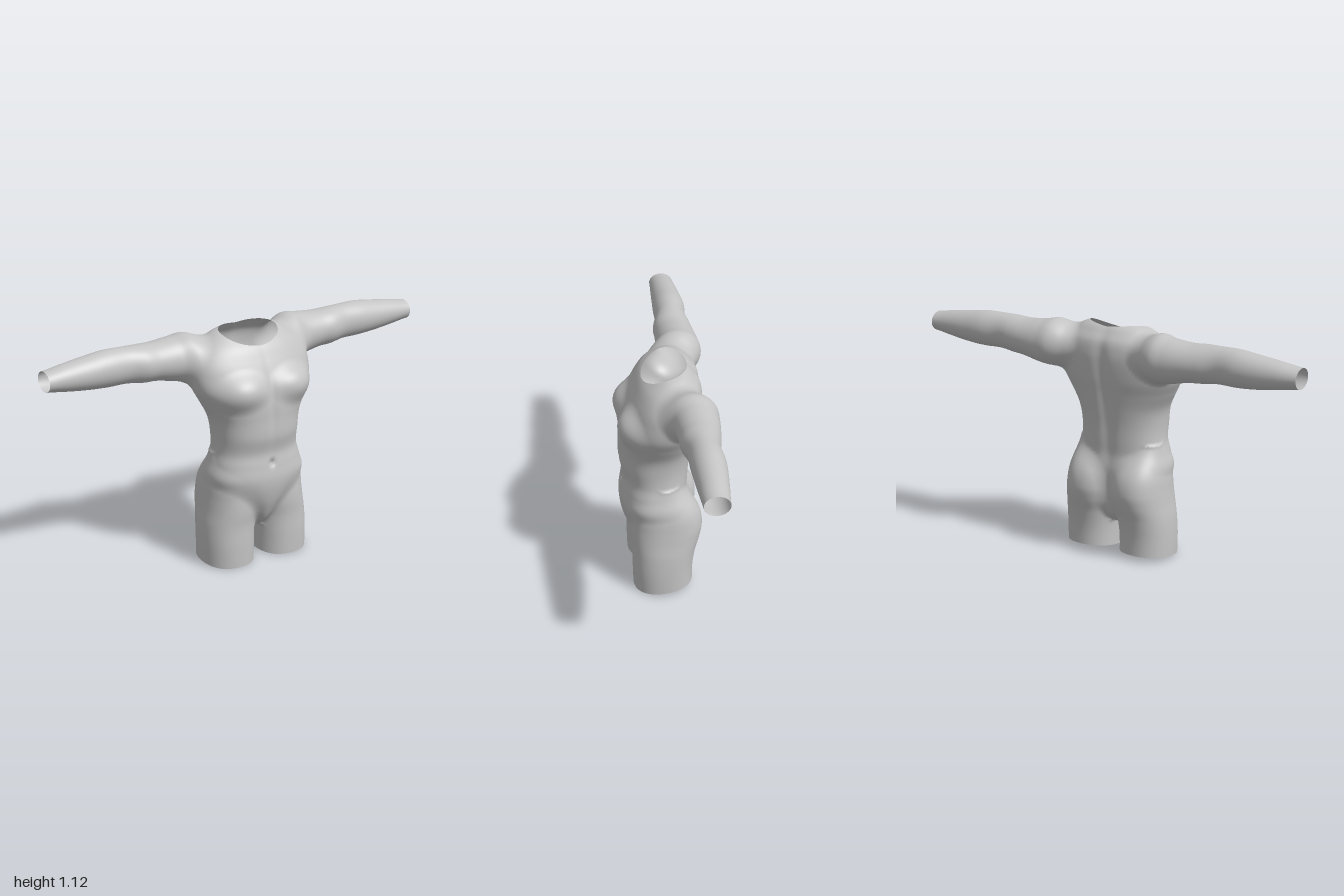
import * as THREE from 'three';

// Cross-sections: [position along the limb, min u, max u, min v, max v]
const torsoRows = [ // y, half width mirrored, back z, front z
  [0.16, 0.012, -0.06, 0.08], [0.2, 0.04, -0.09, 0.13], [0.28, 0.1, -0.11, 0.175],
  [0.36, 0.18, -0.12, 0.2], [0.43, 0.235, -0.12, 0.208], [0.5, 0.225, -0.112, 0.2],
  [0.56, 0.212, -0.115, 0.193], [0.64, 0.212, -0.122, 0.208], [0.72, 0.225, -0.135, 0.208],
  [0.8, 0.265, -0.15, 0.206], [0.87, 0.3, -0.165, 0.193], [0.95, 0.31, -0.175, 0.16],
  [1.0, 0.3, -0.175, 0.135], [1.05, 0.26, -0.165, 0.105], [1.085, 0.21, -0.14, 0.07],
  [1.115, 0.15, -0.11, 0.03], [1.14, 0.04, -0.06, -0.02],
].map(([y, w, b, f]) => [y, -w, w, b, f]);

const legRows = [ // y, inner x, outer x, back z, front z
  [-0.06, 0.018, 0.278, -0.125, 0.155], [0.1, 0.018, 0.28, -0.125, 0.16],
  [0.2, 0.012, 0.275, -0.14, 0.16], [0.27, 0, 0.265, -0.162, 0.165],
  [0.33, -0.005, 0.258, -0.172, 0.165], [0.4, 0, 0.25, -0.16, 0.16],
  [0.46, 0.02, 0.235, -0.125, 0.14], [0.54, 0.06, 0.2, -0.05, 0.05],
];

const armRows = [ // x, bottom y, top y, back z, front z
  [0.13, 0.97, 1.03, -0.12, -0.05], [0.2, 0.92, 1.08, -0.175, 0], [0.28, 0.89, 1.113, -0.215, 0.018],
  [0.35, 0.895, 1.104, -0.215, -0.005], [0.45, 0.915, 1.095, -0.205, -0.015],
  [0.52, 0.92, 1.098, -0.195, -0.015], [0.6, 0.93, 1.1, -0.183, -0.033],
  [0.7, 0.93, 1.1, -0.19, -0.035], [0.8, 0.937, 1.088, -0.185, -0.04],
  [0.9, 0.95, 1.075, -0.175, -0.045], [1.0, 0.965, 1.06, -0.165, -0.05],
  [1.1, 0.965, 1.06, -0.165, -0.05],
];

// Signed distance (approximate) to a smooth loft through the rows
function loft(rows, power) {
  const n = rows.length;
  const slope = rows.map((r, i) => {
    const a = rows[Math.max(i - 1, 0)], b = rows[Math.min(i + 1, n - 1)];
    return r.map((_, k) => (b[k] - a[k]) / (b[0] - a[0]));
  });
  const s = [0, 0, 0, 0, 0];
  return (t, u, v) => {
    const tc = Math.min(Math.max(t, rows[0][0]), rows[n - 1][0]);
    let i = 0;
    while (i < n - 2 && tc > rows[i + 1][0]) i++;
    const a = rows[i], b = rows[i + 1], d = b[0] - a[0], w = (tc - a[0]) / d;
    const w2 = w * w, w3 = w2 * w;
    for (let k = 1; k < 5; k++) {
      s[k] = (2 * w3 - 3 * w2 + 1) * a[k] + (3 * w2 - 2 * w3) * b[k]
        + d * ((w3 - 2 * w2 + w) * slope[i][k] + (w3 - w2) * slope[i + 1][k]);
    }
    const ru = (s[2] - s[1]) / 2, rv = (s[4] - s[3]) / 2;
    const nu = Math.abs(u - (s[1] + s[2]) / 2) / ru, nv = Math.abs(v - (s[3] + s[4]) / 2) / rv;
    const f = ((nu ** power + nv ** power) ** (1 / power) - 1) * Math.min(ru, rv);
    return Math.max(f, rows[0][0] - t, t - rows[n - 1][0]);
  };
}

const torso = loft(torsoRows, 2.25), leg = loft(legRows, 2.2), arm = loft(armRows, 2);
const blend = (a, b, k) => {
  const q = Math.max(k - Math.abs(a - b), 0) / k;
  return Math.min(a, b) - q * q * k / 4;
};
const bump = (d, r) => Math.exp(-(d * d) / (r * r));

// Whole body: torso, chest muscles, thighs and arms smoothly joined
function body(sx, y, z) {
  const x = Math.abs(sx);
  let f = torso(y, x, z);
  const pec = (Math.hypot((x - 0.115) / 0.13, (y - 0.86) / 0.095, (z - 0.1) / 0.12) - 1) * 0.1;
  f = blend(f, pec, 0.03);
  if (z < 0) f += 0.016 * bump(x, 0.035) * bump(y - 0.78, 0.3); // spine groove
  else f += 0.014 * bump(x, 0.014) * bump(y - 0.51, 0.016)      // navel
    + 0.006 * bump(x, 0.02) * bump(y - 0.8, 0.16);              // breastbone
  f = blend(f, leg(y, x, z), 0.03);
  return blend(f, arm(x, y, z), 0.045);
}

function gradient(p) {
  const e = 0.003;
  return [0, 1, 2].map((k) => {
    const a = [...p], b = [...p];
    a[k] += e; b[k] -= e;
    return (body(...a) - body(...b)) / (2 * e);
  });
}

// Trim a point to the neck, wrist or thigh opening; true if it was moved
function trim(p) {
  const r = Math.hypot(p[0] / 0.15, (p[2] + 0.005) / 0.105);
  if (p[1] > 0.95 && r < 1) {
    const q = 1 / Math.max(r, 0.01);
    p[0] *= q;
    p[2] = (p[2] + 0.005) * q - 0.005;
    for (let i = 0; i < 3; i++) { // settle the rim back on the surface
      const g = gradient(p)[1];
      p[1] -= Math.max(-0.01, Math.min(0.01, body(...p) / Math.max(g, 0.3)));
    }
    return true;
  }
  if (Math.abs(p[0]) > 1) { p[0] = Math.sign(p[0]); return true; }
  const hem = Math.min(0.042, Math.max(0, 0.015 - 0.11 * p[2]));
  if (p[1] < hem) { p[1] = hem; return true; }
  return false;
}

// Wrap the body in a regular mesh of quads, sorted into named parts
function buildParts() {
  const h = 0.0125, org = [-1.05, -0.05, -0.25], N = [169, 98, 41];
  const step = [1, N[0], N[0] * N[1]];
  const val = new Float32Array(N[0] * N[1] * N[2]);
  for (let k = 0, i = 0; k < N[2]; k++) for (let j = 0; j < N[1]; j++) for (let l = 0; l < N[0]; l++)
    val[i++] = body(org[0] + l * h, org[1] + j * h, org[2] + k * h);

  const points = [], normals = [], moved = [], cell = new Map();
  const addPoint = (c) => {
    if (cell.has(c)) return cell.get(c);
    const at = [c % N[0], Math.floor(c / N[0]) % N[1], Math.floor(c / step[2])];
    const sum = [0, 0, 0];
    let count = 0;
    // average of the crossings on the twelve edges of the cell
    for (let a = 0; a < 3; a++) for (let m = 0; m < 4; m++) {
      const b = (a + 1) % 3, d = (a + 2) % 3, ob = m & 1, od = m >> 1;
      const i = c + ob * step[b] + od * step[d], v0 = val[i], v1 = val[i + step[a]];
      if ((v0 < 0) === (v1 < 0)) continue;
      sum[a] += v0 / (v0 - v1); sum[b] += ob; sum[d] += od; count++;
    }
    const p = sum.map((q, k) => org[k] + (at[k] + q / count) * h);
    for (let i = 0; i < 2; i++) {
      const g = gradient(p), f = body(...p) / Math.max(0.1, g[0] ** 2 + g[1] ** 2 + g[2] ** 2);
      g.forEach((q, k) => { p[k] -= Math.max(-h / 2, Math.min(h / 2, f * q)); });
    }
    moved.push(trim(p));
    const g = gradient(p), len = Math.hypot(...g) || 1;
    points.push(...p);
    normals.push(...g.map((q) => q / len));
    cell.set(c, moved.length - 1);
    return moved.length - 1;
  };

  const parts = { torso: [], leftArm: [], rightArm: [], leftThigh: [], rightThigh: [] };
  for (let k = 1; k < N[2] - 1; k++) for (let j = 1; j < N[1] - 1; j++) for (let l = 1; l < N[0] - 1; l++) {
    const i = l + j * step[1] + k * step[2];
    for (let a = 0; a < 3; a++) {
      const inside = val[i] < 0;
      if (inside === (val[i + step[a]] < 0)) continue;
      const b = step[(a + 1) % 3], d = step[(a + 2) % 3];
      const q = [i - b - d, i - d, i, i - b].map(addPoint);
      if (q.every((v) => moved[v])) continue;
      if (!inside) q.reverse();
      const x = points[q[0] * 3], y = points[q[0] * 3 + 1], side = x > 0 ? 'left' : 'right';
      const name = Math.abs(x) > 0.34 && y > 0.8 ? side + 'Arm' : y < 0.17 ? side + 'Thigh' : 'torso';
      parts[name].push(q[0], q[1], q[2], q[0], q[2], q[3]);
    }
  }
  return { points, normals, parts };
}

export function createModel() {
  const group = new THREE.Group();
  group.name = 'torsoFigure';
  const grey = new THREE.MeshStandardMaterial({ color: 0xc4c4c4, side: THREE.DoubleSide });
  grey.name = 'plainGrey';
  const { points, normals, parts } = buildParts();
  for (const [name, index] of Object.entries(parts)) {
    const shared = new THREE.BufferGeometry();
    shared.setAttribute('position', new THREE.Float32BufferAttribute(points, 3));
    shared.setAttribute('normal', new THREE.Float32BufferAttribute(normals, 3));
    shared.setIndex(index);
    const mesh = new THREE.Mesh(shared.toNonIndexed(), grey);
    mesh.name = name;
    group.add(mesh);
  }
  return group;
}
